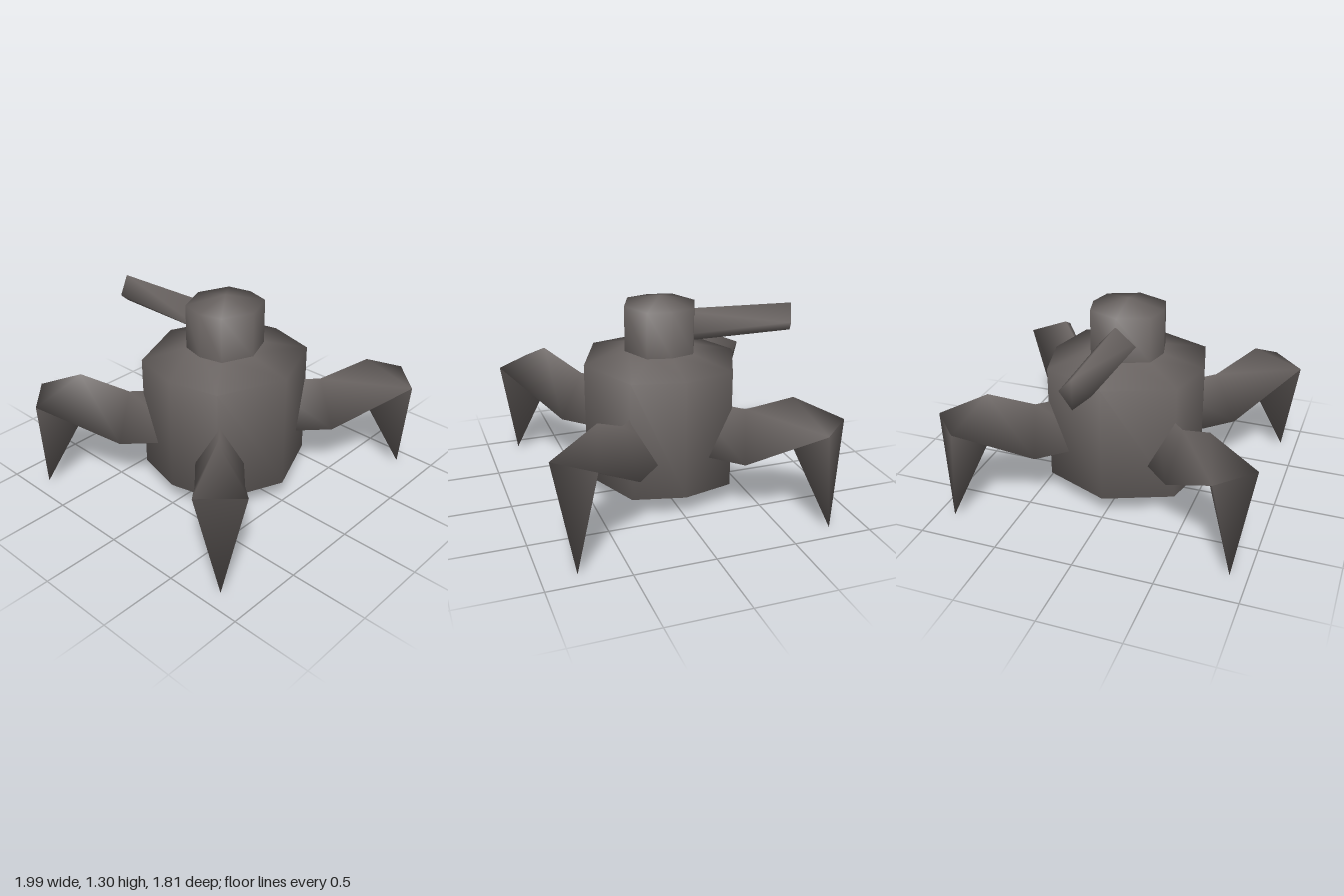
import * as THREE from 'three';
import { mergeVertices } from 'three/addons/utils/BufferGeometryUtils.js';

const metal = new THREE.MeshStandardMaterial({ color: 0x6b6563 });
metal.name = 'dark grey metal';

// Weld shared corners so the low-poly surface shades smoothly
function smooth(geometry) {
  geometry.deleteAttribute('uv');
  geometry.deleteAttribute('normal');
  const welded = mergeVertices(geometry, 1e-4);
  welded.computeVertexNormals();
  return welded;
}

function part(name, geometry) {
  const mesh = new THREE.Mesh(smooth(geometry), metal);
  mesh.name = name;
  return mesh;
}

// Skin over rings of points; each ring runs counter-clockwise seen from the far end
function loft(rings, capEnd = true) {
  const n = rings[0].length;
  const index = [];
  for (let i = 0; i < rings.length - 1; i++) {
    for (let j = 0; j < n; j++) {
      const a = i * n + j, b = i * n + (j + 1) % n;
      index.push(a, b, b + n, a, b + n, a + n);
    }
  }
  const last = (rings.length - 1) * n;
  if (capEnd) for (let j = 1; j < n - 1; j++) index.push(last, last + j, last + j + 1);
  const geometry = new THREE.BufferGeometry();
  geometry.setAttribute('position', new THREE.Float32BufferAttribute(rings.flat(2), 3));
  geometry.setIndex(index);
  return geometry;
}

// Eight-sided turned shape, with its diagonal corners pushed out sideways
function octagonal(profile) {
  const geometry = new THREE.LatheGeometry(profile.map(([r, y]) => new THREE.Vector2(r, y)), 8);
  const p = geometry.attributes.position;
  for (let i = 0; i < p.count; i++) {
    const x = p.getX(i), z = p.getZ(i);
    if (Math.abs(x) > 1e-3 && Math.abs(z) > 1e-3) {
      p.setX(i, x * 1.19);
      p.setZ(i, z * 0.92);
    }
  }
  return geometry;
}

// Triangular leg pointing along +z, with the foot at the origin
function createLeg() {
  const w = 0.15;
  const ring = (topY, topZ, lowY, lowZ) => [[0, topY, topZ], [-w, lowY, lowZ], [w, lowY, lowZ]];
  const thigh = loft([
    ring(0.67, -0.95, 0.37, -0.95),
    ring(0.67, -0.57, 0.37, -0.5),
    ring(0.805, -0.275, 0.66, 0),
  ]);
  const foot = [0, 0, 0];
  const shin = loft([
    [[0, 0.52, -0.28], [w, 0.66, 0], [-w, 0.66, 0]],
    [foot, foot, foot],
  ], false);
  const leg = new THREE.Group();
  leg.add(part('thigh', thigh), part('shin', shin));
  return leg;
}

export function createModel() {
  const model = new THREE.Group();
  model.name = 'walkerTurret';

  model.add(part('body', octagonal([[0, 0.02], [0.497, 0.14], [0.497, 0.895], [0.2, 0.968]])));
  model.add(part('turret', octagonal([[0.232, 0.955], [0.232, 1.248], [0, 1.3]])));

  // Tapered diamond-section barrel with a wedge-shaped end, pointing backwards
  const diamond = (top, side, halfWidth, z, sideZ) =>
    [[0, top, z], [-halfWidth, side, sideZ], [0, 0.985, z], [halfWidth, side, sideZ]];
  const barrel = part('barrel', loft([
    diamond(1.202, 1.065, 0.117, 0.05, 0.05),
    diamond(1.17, 1.065, 0.096, 0.912, 0.87),
  ]));
  barrel.rotation.y = Math.PI;
  model.add(barrel);

  // Four legs splayed to the corners
  for (const sx of [1, -1]) {
    for (const sz of [1, -1]) {
      const leg = createLeg();
      leg.name = (sz > 0 ? 'front' : 'back') + (sx > 0 ? 'Left' : 'Right') + 'Leg';
      leg.position.set(sx * 0.893, 0, sz * 0.787 + 0.005);
      leg.rotation.y = Math.atan2(sx * 0.725, sz * 0.689);
      model.add(leg);
    }
  }
  return model;
}
